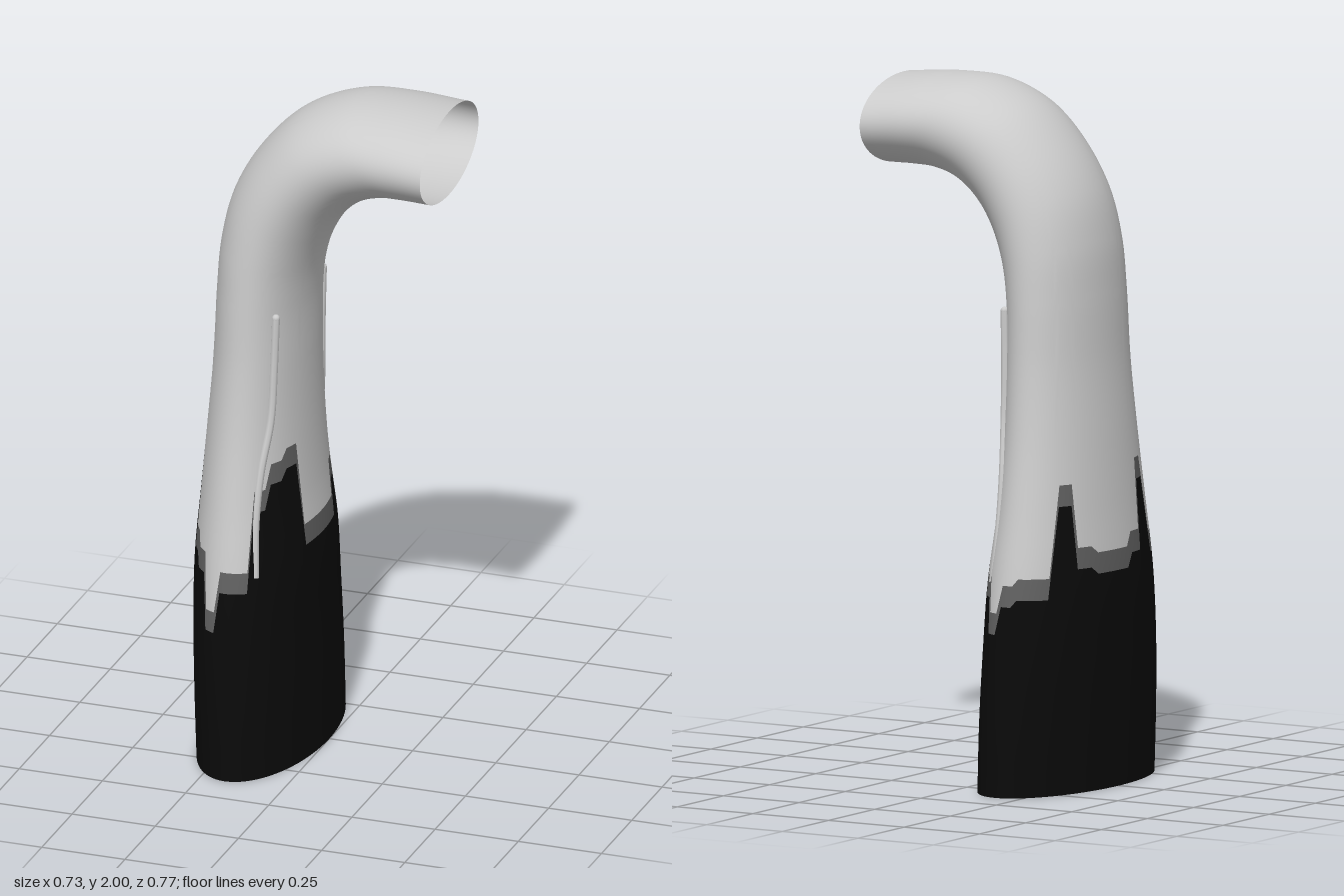
import * as THREE from 'three';
import { ParametricGeometry } from 'three/addons/geometries/ParametricGeometry.js';

// Stations along the duct: outer bend x,y, inner bend x,y, half depth
const STATIONS = [
  [-0.35, 0, 0, 0, 0.385],
  [-0.357, 0.2, -0.004, 0.2, 0.383],
  [-0.363, 0.4, -0.01, 0.4, 0.37],
  [-0.365, 0.6, -0.014, 0.6, 0.342],
  [-0.35, 0.8, -0.035, 0.8, 0.305],
  [-0.335, 1.0, -0.045, 1.0, 0.272],
  [-0.32, 1.2, -0.047, 1.2, 0.25],
  [-0.312, 1.4, -0.042, 1.38, 0.24],
  [-0.3, 1.55, -0.025, 1.48, 0.234],
  [-0.265, 1.69, 0.01, 1.57, 0.228],
  [-0.19, 1.82, 0.06, 1.645, 0.225],
  [-0.08, 1.93, 0.13, 1.7, 0.227],
  [0.06, 1.99, 0.21, 1.725, 0.231],
  [0.2, 1.997, 0.28, 1.73, 0.237],
  [0.36, 1.985, 0.36, 1.73, 0.242],
];
const LAST = STATIONS.length - 1;
const outerBend = new THREE.CatmullRomCurve3(STATIONS.map((s) => new THREE.Vector3(s[0], s[1], 0)));
const innerBend = new THREE.CatmullRomCurve3(STATIONS.map((s) => new THREE.Vector3(s[2], s[3], s[4])));

// Height of the black paint every 15 degrees around the duct, from +x towards +z
const PAINT = [
  0.7, 0.7, 0.95, 0.92, 0.85, 0.62, 0.62, 0.5, 0.66, 0.7, 0.92, 0.72,
  0.68, 0.68, 0.7, 0.88, 0.62, 0.62, 0.6, 0.52, 0.62, 0.66, 0.8, 0.7,
];

// Paint height at v (0..1 around), stepping steeply between samples
function paintHeight(v) {
  const f = (((v % 1) + 1) % 1) * PAINT.length;
  const i = Math.floor(f);
  const k = THREE.MathUtils.clamp((f - i - 0.5) * 3 + 0.5, 0, 1);
  return THREE.MathUtils.lerp(PAINT[i % PAINT.length], PAINT[(i + 1) % PAINT.length], k);
}

// Straight-part heights map evenly to the curve parameter
const atHeight = (y) => y / 0.2 / LAST;

// Point on the elliptical section at t along the duct and v around it
function ductPoint(t, v, target, scale = 1) {
  const o = outerBend.getPoint(t);
  const i = innerBend.getPoint(t);
  const a = v * Math.PI * 2;
  const c = Math.cos(a) * 0.5 * scale;
  return target.set(
    (o.x + i.x) / 2 + (i.x - o.x) * c,
    (o.y + i.y) / 2 + (i.y - o.y) * c,
    i.z * Math.sin(a) * scale
  );
}

export function createModel() {
  const group = new THREE.Group();
  const material = (color) => new THREE.MeshStandardMaterial({ color, side: THREE.DoubleSide });
  const grey = material(0xcccccc);
  const black = material(0x0a0a0a);
  const fade = material(0x606060);

  const add = (name, geometry, mat) => {
    const mesh = new THREE.Mesh(geometry, mat);
    mesh.name = name;
    group.add(mesh);
  };

  // Length of duct between two limits, each a function of v
  const section = (from, to, rows) =>
    new ParametricGeometry(
      (u, v, p) => ductPoint(THREE.MathUtils.lerp(from(v), to(v), u), v, p),
      rows, 72
    );

  // Painted base, soft paint edge and bare upper duct
  const paintLow = (v) => atHeight(paintHeight(v) - 0.06);
  const paintTop = (v) => atHeight(paintHeight(v));
  add('paintedBase', section(() => 0, paintLow, 16), black);
  add('paintEdge', section(paintLow, paintTop, 2), fade);
  add('upperDuct', section(paintTop, () => 1, 64), grey);

  // Flat rim under the base and the short inner wall above its opening
  const rim = new ParametricGeometry((u, v, p) => ductPoint(0, v, p, 0.82 + 0.18 * u), 1, 72);
  add('baseRim', rim, black);
  const lip = new ParametricGeometry((u, v, p) => ductPoint(atHeight(0.1 * (1 - u)), v, p, 0.82), 2, 72);
  add('baseInnerWall', lip, black);

  // Raised ribs on both flanks, sinking into the duct lower down
  const ribPath = [[1.36, -0.09], [1.2, -0.095], [1.05, -0.1], [0.9, -0.117], [0.75, -0.122], [0.6, -0.115]];
  for (const side of [1, -1]) {
    const points = ribPath.map(([y, x], n) => {
      const t = atHeight(y);
      const o = outerBend.getPoint(t);
      const i = innerBend.getPoint(t);
      const cos = (x - (o.x + i.x) / 2) / ((i.x - o.x) / 2);
      const z = i.z * Math.sqrt(1 - cos * cos) + 0.012 - n * 0.005;
      return new THREE.Vector3(x, y, side * z);
    });
    const curve = new THREE.CatmullRomCurve3(points);
    add(side > 0 ? 'frontRib' : 'backRib', new THREE.TubeGeometry(curve, 32, 0.012, 8), grey);
    // Rounded cap at the top of the rib
    const cap = new THREE.SphereGeometry(0.012, 10, 6);
    cap.translate(points[0].x, points[0].y, points[0].z);
    add(side > 0 ? 'frontRibCap' : 'backRibCap', cap, grey);
  }

  return group;
}
